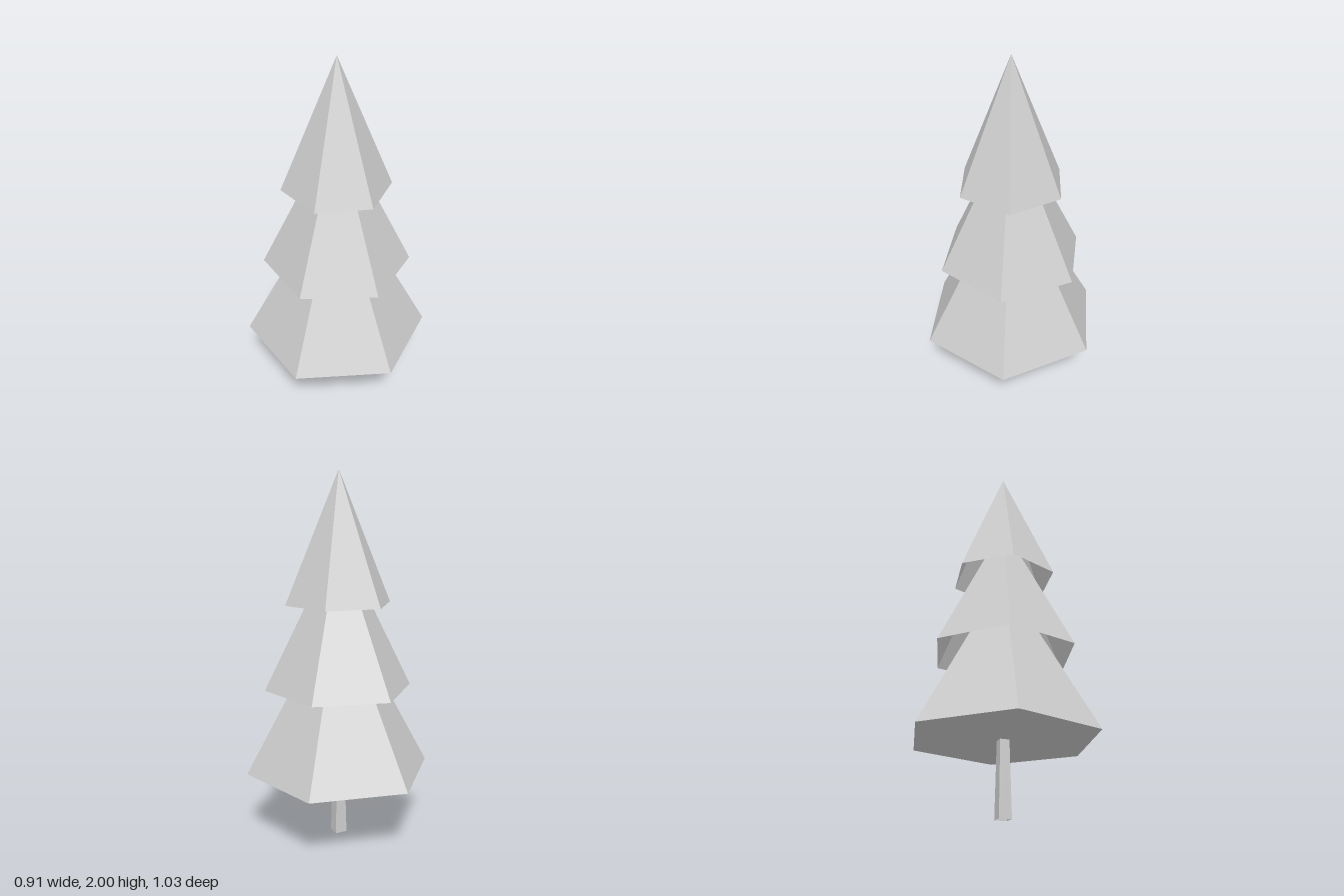
import * as THREE from 'three';

export function createModel() {
  const tree = new THREE.Group();
  tree.name = 'lowPolyPineTree';

  const paleGrey = new THREE.MeshStandardMaterial({
    color: 0xcccccc, flatShading: true, side: THREE.DoubleSide,
  });
  paleGrey.name = 'paleGrey';

  // Tapered four-sided trunk, open at both ends, corners on the axes
  const trunk = new THREE.Mesh(new THREE.CylinderGeometry(0.035, 0.047, 0.4, 4, 1, true), paleGrey);
  trunk.name = 'trunk';
  trunk.position.y = 0.2;
  tree.add(trunk);

  // Six-sided foliage tiers, each turned slightly; only the lowest has a floor
  const tiers = [
    { name: 'lowerFoliage', radius: 0.513, base: 0.39, tip: 1.33, turn: 2.2, open: false },
    { name: 'middleFoliage', radius: 0.403, base: 0.85, tip: 1.66, turn: -0.5, open: true },
    { name: 'upperFoliage', radius: 0.291, base: 1.31, tip: 2, turn: 5.5, open: true },
  ];
  for (const { name, radius, base, tip, turn, open } of tiers) {
    const height = tip - base;
    const tier = new THREE.Mesh(new THREE.ConeGeometry(radius, height, 6, 1, open), paleGrey);
    tier.name = name;
    tier.position.y = base + height / 2;
    tier.rotation.y = THREE.MathUtils.degToRad(turn);
    tree.add(tier);
  }

  return tree;
}
